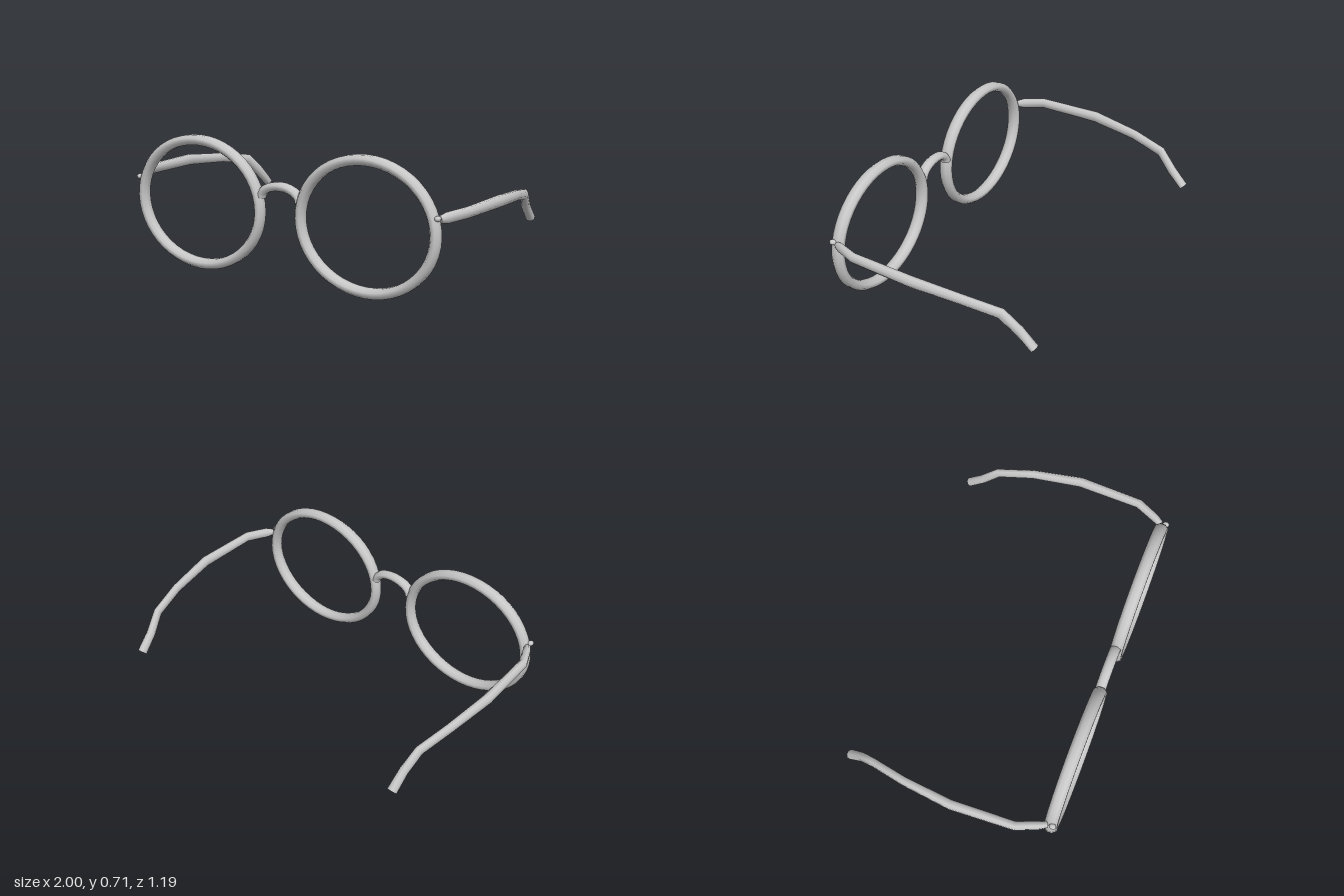
import * as THREE from 'three';

const V = (x, y, z) => new THREE.Vector3(x, y, z);

// Sweeps an oval section along points; sizes[i] = [half along ref, half across ref].
function sweep(points, sizes, ref, sides, closed = false) {
  const n = points.length, pos = [], idx = [];
  const ring = (i) => {
    const prev = points[closed ? (i + n - 1) % n : Math.max(i - 1, 0)];
    const next = points[closed ? (i + 1) % n : Math.min(i + 1, n - 1)];
    const a = points[i].clone().sub(prev).normalize();
    const b = next.clone().sub(points[i]).normalize();
    const t = a.add(b).normalize();
    const across = ref.clone().cross(t).normalize();
    const along = t.clone().cross(across);
    const [h, w] = sizes[i % sizes.length];
    return Array.from({ length: sides }, (_, k) => {
      const q = ((k + 0.5) / sides) * Math.PI * 2;
      return points[i].clone()
        .addScaledVector(across, (Math.cos(q) * w) / Math.cos(Math.PI / sides))
        .addScaledVector(along, (Math.sin(q) * h) / Math.cos(Math.PI / sides));
    });
  };
  const rings = points.map((_, i) => ring(i));
  rings.forEach((r) => r.forEach((p) => pos.push(p.x, p.y, p.z)));
  for (let i = 0; i < (closed ? n : n - 1); i++) {
    const j = (i + 1) % n;
    for (let k = 0; k < sides; k++) {
      const l = (k + 1) % sides;
      const a = i * sides + k, b = i * sides + l, c = j * sides + l, d = j * sides + k;
      idx.push(a, b, c, a, c, d);
    }
  }
  // End caps with their own vertices, so their edges stay crisp
  if (!closed) {
    [0, n - 1].forEach((i) => {
      const base = pos.length / 3;
      rings[i].forEach((p) => pos.push(p.x, p.y, p.z));
      for (let k = 1; k < sides - 1; k++) {
        if (i === 0) idx.push(base, base + k + 1, base + k);
        else idx.push(base, base + k, base + k + 1);
      }
    });
  }
  const g = new THREE.BufferGeometry();
  g.setAttribute('position', new THREE.Float32BufferAttribute(pos, 3));
  g.setIndex(idx);
  g.computeVertexNormals();
  return g;
}

export function createModel() {
  const group = new THREE.Group();
  const frame = new THREE.MeshStandardMaterial({ color: 0xc8c8c8 });
  frame.name = 'frameGrey';
  const add = (name, geometry) => {
    const mesh = new THREE.Mesh(geometry, frame);
    mesh.name = name;
    group.add(mesh);
    return mesh;
  };

  for (const side of [1, -1]) {
    const label = side > 0 ? 'left' : 'right';

    // Oval lens rim
    const oval = Array.from({ length: 48 }, (_, i) => {
      const a = (i / 48) * Math.PI * 2;
      return V(side * 0.5 + 0.378 * Math.cos(a), 0.36 + 0.33 * Math.sin(a), 0.559);
    });
    add(label + 'Rim', sweep(oval, [[0.034, 0.026]], V(0, 0, 1), 8, true));

    // Temple arm with its bent ear hook
    const path = [
      [0.892, 0.447, 0.545], [0.912, 0.451, 0.508], [0.96, 0.459, 0.395], [0.974, 0.45, 0.05],
      [0.94, 0.42, -0.22], [0.898, 0.382, -0.41], [0.873, 0.296, -0.495], [0.866, 0.216, -0.576],
    ].map(([x, y, z]) => V(side * x, y, z));
    const sizes = [
      [0.016, 0.016], [0.026, 0.02], [0.026, 0.022], [0.029, 0.024],
      [0.026, 0.021], [0.028, 0.02], [0.026, 0.022], [0.022, 0.025],
    ];
    add(label + 'Temple', sweep(path, sizes, V(0, 1, 0), 8));

    // Hinge stud on the outer edge of the rim
    const stud = add(label + 'HingeStud', new THREE.SphereGeometry(1, 10, 8));
    stud.scale.set(0.016, 0.014, 0.019);
    stud.position.set(side * 0.894, 0.457, 0.573);
  }

  // Arched nose bridge
  const arch = Array.from({ length: 13 }, (_, i) => {
    const a = Math.PI * (1 - i / 12);
    return V(0.115 * Math.cos(a), 0.435 + 0.066 * Math.sin(a), 0.555);
  });
  add('bridge', sweep(arch, [[0.028, 0.022]], V(0, 0, 1), 8));

  return group;
}
